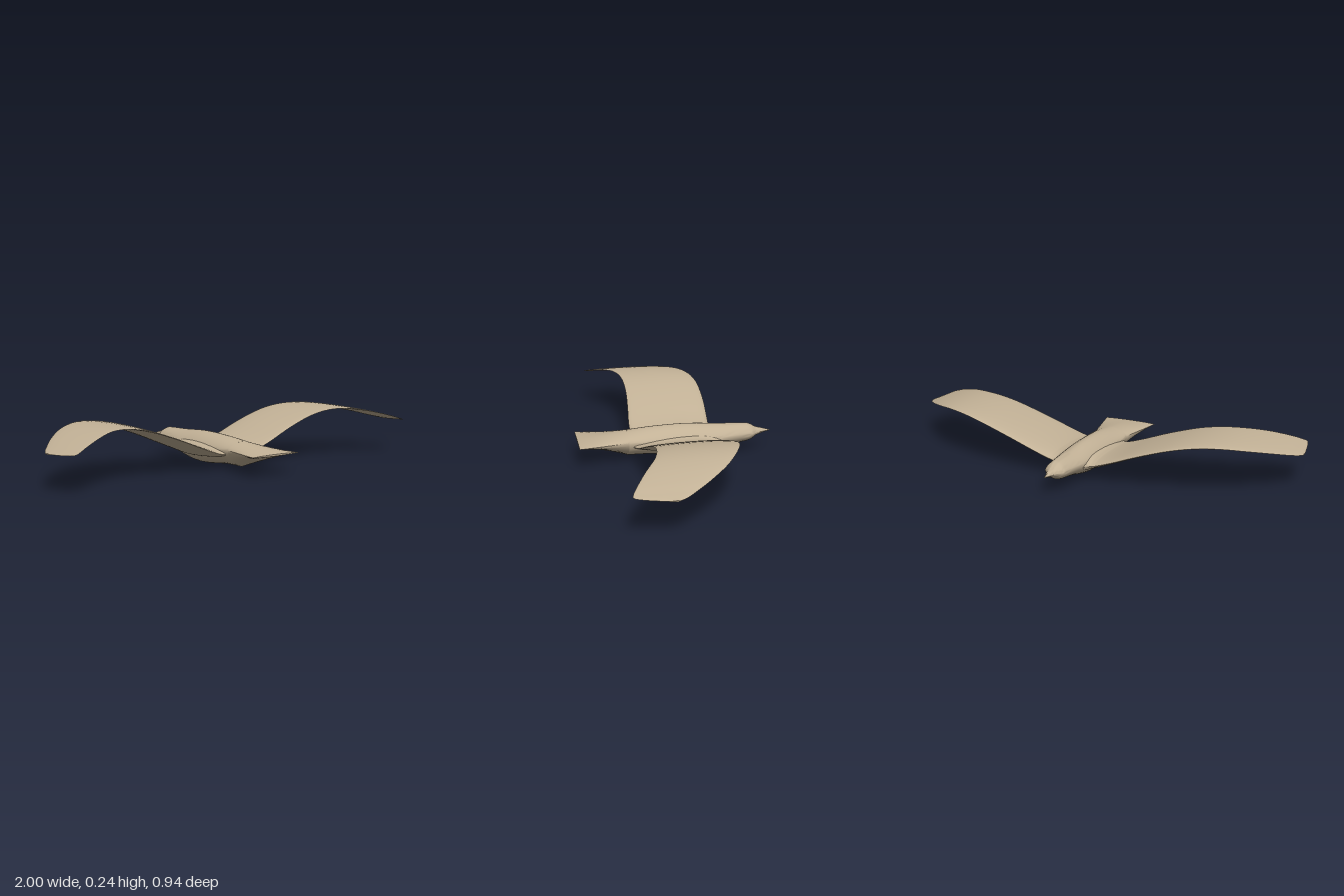
import * as THREE from 'three';
import { toCreasedNormals } from 'three/addons/utils/BufferGeometryUtils.js';

// Skin a list of rings (ordered counter-clockwise about the loft direction) and close both ends.
function loft(rings) {
  const n = rings[0].length, pos = [], idx = [];
  rings.forEach(r => r.forEach(p => pos.push(...p)));
  for (let i = 0; i < rings.length - 1; i++) {
    for (let j = 0; j < n; j++) {
      const a = i * n + j, b = i * n + (j + 1) % n;
      idx.push(a, b, a + n, b, b + n, a + n);
    }
  }
  const cap = (start, flip) => {
    const c = pos.length / 3, mid = [0, 0, 0];
    for (let j = 0; j < n; j++) for (let k = 0; k < 3; k++) mid[k] += pos[(start + j) * 3 + k] / n;
    pos.push(...mid);
    for (let j = 0; j < n; j++) {
      const a = start + j, b = start + (j + 1) % n;
      flip ? idx.push(c, b, a) : idx.push(c, a, b);
    }
  };
  cap(0, true);
  cap((rings.length - 1) * n, false);
  const g = new THREE.BufferGeometry();
  g.setAttribute('position', new THREE.Float32BufferAttribute(pos, 3));
  g.setIndex(idx);
  return toCreasedNormals(g, 0.75);
}

// Smoothly resample station rows with a curve through each column, keyed by the first column.
function resample(rows, steps) {
  const out = [];
  for (let i = 0; i < rows.length - 1; i++) {
    for (let s = 0; s < steps; s++) {
      const t = s / steps, [p, a, b, q] = [rows[Math.max(i - 1, 0)], rows[i], rows[i + 1], rows[Math.min(i + 2, rows.length - 1)]];
      const h = b[0] - a[0];
      out.push(a.map((v, k) => {
        if (k === 0) return v + h * t;
        const m0 = (b[k] - p[k]) / (b[0] - p[0]) * h, m1 = (q[k] - v) / (q[0] - a[0]) * h;
        const t2 = t * t, t3 = t2 * t;
        return (2 * t3 - 3 * t2 + 1) * v + (t3 - 2 * t2 + t) * m0 + (3 * t2 - 2 * t3) * b[k] + (t3 - t2) * m1;
      }));
    }
  }
  out.push(rows[rows.length - 1]);
  return out;
}

// Body cross-section: peaked back, rounder belly.
function bodyRing([z, w, top, bottom, mid]) {
  return Array.from({ length: 32 }, (_, j) => {
    const a = j / 32 * Math.PI * 2, c = Math.cos(a), s = Math.sin(a);
    const y = s > 0 ? mid + (top - mid) * Math.pow(s, 1.35) : mid + (mid - bottom) * s;
    return [w * Math.sign(c) * Math.pow(Math.abs(c), 1.2), y, z];
  });
}

// Wing cross-section: thin rounded blade.
function wingRing([x, lead, trail, y, thick], side) {
  const mid = (lead + trail) / 2, half = (trail - lead) / 2;
  return Array.from({ length: 28 }, (_, j) => {
    const a = j / 28 * Math.PI * 2, s = Math.sin(a), c = Math.cos(a);
    return [side * x, y + thick / 2 * c * (1 - 0.3 * s), mid + half * s];
  });
}

export function createModel() {
  const bird = new THREE.Group();
  bird.name = 'bird';
  const material = new THREE.MeshStandardMaterial({ color: 0xc2b196 });
  const add = (name, geometry) => {
    const mesh = new THREE.Mesh(geometry, material);
    mesh.name = name;
    bird.add(mesh);
  };

  // Beak, head and torso: z, half width, top, bottom, widest height
  add('body', loft(resample([
    [-0.47, 0.001, 0.101, 0.099, 0.1],
    [-0.43, 0.014, 0.113, 0.089, 0.1],
    [-0.395, 0.03, 0.122, 0.077, 0.1],
    [-0.375, 0.047, 0.134, 0.064, 0.1],
    [-0.35, 0.053, 0.143, 0.054, 0.099],
    [-0.25, 0.068, 0.146, 0.039, 0.096],
    [-0.18, 0.08, 0.149, 0.022, 0.09],
    [-0.11, 0.085, 0.154, 0.007, 0.085],
    [-0.04, 0.088, 0.156, 0.003, 0.084],
    [0.04, 0.088, 0.154, 0.008, 0.086],
    [0.13, 0.086, 0.148, 0.017, 0.092],
    [0.232, 0.086, 0.136, 0.017, 0.1],
  ], 3).map(bodyRing)));

  // Tail fan, flattening to a broad straight edge
  add('tail', loft([
    [0.23, 0.086, 0.136, 0.017, 0.1],
    [0.31, 0.102, 0.126, 0.044, 0.1],
    [0.39, 0.119, 0.115, 0.07, 0.1],
    [0.47, 0.135, 0.104, 0.096, 0.1],
  ].map(bodyRing)));

  // Wings: x, leading z, trailing z, height, thickness
  const wing = resample([
    [0.03, -0.24, 0.25, 0.085, 0.07],
    [0.07, -0.222, 0.224, 0.08, 0.066],
    [0.09, -0.199, 0.204, 0.079, 0.058],
    [0.12, -0.195, 0.2, 0.085, 0.045],
    [0.2, -0.199, 0.196, 0.113, 0.034],
    [0.3, -0.205, 0.186, 0.153, 0.03],
    [0.4, -0.206, 0.178, 0.189, 0.026],
    [0.5, -0.2, 0.176, 0.219, 0.022],
    [0.6, -0.178, 0.184, 0.236, 0.018],
    [0.7, -0.138, 0.21, 0.237, 0.016],
    [0.8, -0.075, 0.262, 0.222, 0.014],
    [0.9, 0.02, 0.314, 0.196, 0.011],
    [0.95, 0.08, 0.337, 0.179, 0.009],
    [0.97, 0.104, 0.332, 0.173, 0.008],
    [0.985, 0.126, 0.276, 0.168, 0.007],
    [1, 0.155, 0.19, 0.164, 0.005],
  ], 3);
  for (const [name, side] of [['leftWing', 1], ['rightWing', -1]]) {
    const rings = wing.map(row => wingRing(row, side));
    add(name, loft(side > 0 ? rings : rings.reverse()));
  }
  return bird;
}
